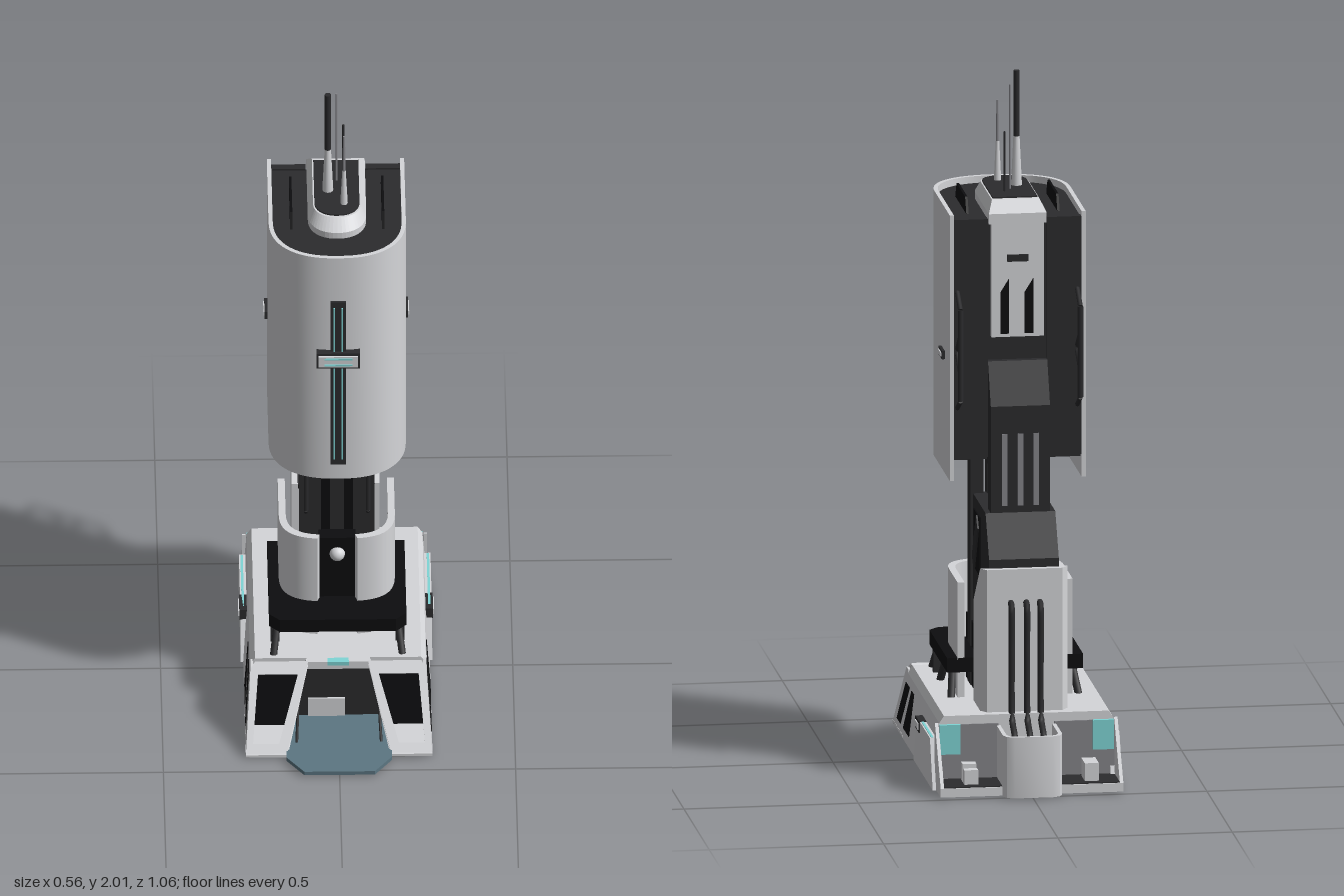
import * as THREE from 'three';
import { toCreasedNormals } from 'three/addons/utils/BufferGeometryUtils.js';
import { ConvexGeometry } from 'three/addons/geometries/ConvexGeometry.js';

const mat = (name, color) => {
  const m = new THREE.MeshStandardMaterial({ color });
  m.name = name;
  return m;
};
const V = (x, y, z) => new THREE.Vector3(x, y, z);

export function createModel() {
  const group = new THREE.Group();
  const light = mat('light hull', 0xd5d6d9), dark = mat('dark metal', 0x2b2b2d), black = mat('black glass', 0x0d0d0f);
  const slate = mat('slate blue', 0x5c7682), cyan = mat('cyan trim', 0x7fd6d6), grey = mat('mid grey', 0x85858a);
  const SIDES = [1, -1];

  const add = (name, geo, m) => {
    const mesh = new THREE.Mesh(geo, m);
    mesh.name = name;
    group.add(mesh);
    return mesh;
  };
  const box = (name, m, x0, x1, y0, y1, z0, z1) =>
    add(name, new THREE.BoxGeometry(Math.abs(x1 - x0), y1 - y0, z1 - z0), m)
      .position.set((x0 + x1) / 2, (y0 + y1) / 2, (z0 + z1) / 2);
  const hull = (name, m, pts) => add(name, new ConvexGeometry(pts.map(p => V(...p))), m);
  // thin plate on a planar outline
  const plate = (name, m, pts, t = 0.004) => {
    const p = pts.map(q => V(...q));
    const n = p[1].clone().sub(p[0]).cross(p[2].clone().sub(p[0])).normalize().multiplyScalar(t);
    return add(name, new ConvexGeometry([...p.map(q => q.clone().add(n)), ...p.map(q => q.clone().sub(n))]), m);
  };
  // outline in x, z raised between two heights
  const prism = (name, m, pts, y0, y1) => {
    const g = new THREE.ExtrudeGeometry(new THREE.Shape(pts.map(p => new THREE.Vector2(p[0], -p[1]))),
      { depth: y1 - y0, bevelEnabled: false });
    g.rotateX(-Math.PI / 2).translate(0, y0, 0);
    return add(name, toCreasedNormals(g, 0.6), m);
  };
  // outline in z, y drawn across the width
  const across = (name, m, pts, xa, xb) => {
    const g = new THREE.ExtrudeGeometry(new THREE.Shape(pts.map(p => new THREE.Vector2(-p[0], p[1]))),
      { depth: Math.abs(xb - xa), bevelEnabled: false });
    g.rotateY(Math.PI / 2).translate(Math.min(xa, xb), 0, 0);
    return add(name, g, m);
  };
  const rod = (name, m, a, b, r0, r1 = r0, sides = 8) => {
    const p = V(...a), q = V(...b), d = q.clone().sub(p);
    const mesh = add(name, new THREE.CylinderGeometry(r1, r0, d.length(), sides), m);
    mesh.position.copy(p).add(q).multiplyScalar(0.5);
    mesh.quaternion.setFromUnitVectors(V(0, 1, 0), d.normalize());
  };
  // U outline: flat back, rounded front
  const uPath = (w, zb, zc, zf, e = 0.85, n = 32) => {
    const pts = [[w, zb]];
    for (let i = 0; i <= n; i++) {
      const a = Math.PI * i / n, c = Math.cos(a), s = Math.max(0, Math.sin(a));
      pts.push([w * Math.sign(c) * Math.abs(c) ** e, zc + (zf - zc) * s ** e]);
    }
    pts.push([-w, zb]);
    return pts;
  };
  const ring = (outer, inner) => [...outer, ...inner.slice().reverse()];

  // Base hull
  const sideX = y => 0.265 - y * 0.08, slopeZ = y => 0.44 - y * 0.81;
  const section = [[0.265, 0], [sideX(0.19), 0.19], [0.236, 0.21]];
  hull('baseHull', light, SIDES.flatMap(s => section.flatMap(([x, y]) => [[s * x, y, -0.375], [s * x, y, 0.25]])));
  box('frontFloor', light, -0.265, 0.265, 0, 0.008, 0.24, 0.44);
  box('rearFloor', light, -0.262, 0.262, 0, 0.025, -0.49, -0.37);
  // sloping window frame with a hole, its height measured up the slope
  const rise = Math.hypot(0.21, 0.17) / 0.21;
  const onSlope = (s, pts) => pts.map(([x, y]) => new THREE.Vector2(s * x, y * rise));
  for (const s of SIDES) {
    // Hollow front cheeks beside the entrance
    const frame = new THREE.Shape(onSlope(s, [[0.15, 0], [0.265, 0], [0.249, 0.195], [0.236, 0.212], [0.085, 0.212]]));
    frame.holes.push(new THREE.Path(onSlope(s, [[0.115, 0.183], [0.228, 0.183], [0.244, 0.03], [0.17, 0.03]])));
    const frameGeo = new THREE.ExtrudeGeometry(frame, { depth: 0.008, bevelEnabled: false });
    frameGeo.translate(0, 0, -0.008).rotateX(-Math.atan(0.17 / 0.21)).translate(0, 0, 0.44);
    add('windowFrame', frameGeo, light);
    plate('windowGlass', black, [[0.13, 0.01, 0.295], [0.255, 0.01, 0.295], [0.245, 0.19, 0.257], [0.09, 0.19, 0.257]]
      .map(([x, y, z]) => [s * x, y, z]));
    plate('cheekOuterWall', light, [[0, 0.24], [0, 0.44], [0.2, 0.275], [0.2, 0.24]].map(([y, z]) => [s * (sideX(y) - 0.004), y, z]));
    plate('entranceSideWall', light, [[0.15, 0, 0.24], [0.15, 0, 0.435], [0.088, 0.205, 0.268], [0.088, 0.205, 0.24]]
      .map(([x, y, z]) => [s * x, y, z]));
    rod('entranceHandrail', dark, [s * 0.112, 0.15, 0.3], [s * 0.12, 0.03, 0.41], 0.004);
    // Slanted side windows
    for (const w of [[[0.365, 0.03], [0.295, 0.03], [0.185, 0.16], [0.255, 0.16]],
      [[0.24, 0.03], [0.13, 0.03], [0.1, 0.16], [0.145, 0.16]]])
      plate('sideWindow', black, w.map(([z, y]) => [s * sideX(y), y, z]), 0.002);
    // Raised skirt panel with trim along its top, and hatch
    across('skirtPanel', light, [[-0.02, 0], [-0.4, 0], [-0.345, 0.14], [-0.09, 0.14]], s * 0.24, s * 0.272);
    box('skirtTrim', cyan, s * 0.261, s * 0.268, 0.137, 0.142, -0.34, -0.095);
    box('sideHatchFrame', dark, s * 0.245, s * 0.275, 0.108, 0.142, -0.15, -0.075);
    box('sideHatch', light, s * 0.25, s * 0.278, 0.116, 0.134, -0.142, -0.083);
    // Rear bay with sloped side wing
    across('rearWing', light, [[-0.37, 0], [-0.49, 0], [-0.49, 0.025], [-0.375, 0.19], [-0.37, 0.19]], s * 0.252, s * 0.262);
    box('rearBayFloor', dark, s * 0.08, s * 0.252, 0.02, 0.028, -0.485, -0.37);
    box('rearBayWall', grey, s * 0.08, s * 0.252, 0.028, 0.185, -0.38, -0.37);
    box('rearLamp', cyan, s * 0.19, s * 0.25, 0.1, 0.186, -0.387, -0.372);
  }
  box('rearVent', light, -0.195, -0.155, 0.025, 0.08, -0.465, -0.395);
  box('rearVent', light, 0.15, 0.19, 0.025, 0.07, -0.46, -0.435);
  box('rearVent', light, 0.15, 0.19, 0.025, 0.08, -0.425, -0.395);
  box('entranceLintel', light, -0.09, 0.09, 0.185, 0.21, 0.24, 0.27);
  box('entranceLamp', cyan, -0.03, 0.03, 0.2, 0.213, 0.255, 0.275);
  plate('entranceDoor', dark, [[-0.14, 0.01, 0.252], [0.14, 0.01, 0.252], [0.088, 0.185, 0.252], [-0.088, 0.185, 0.252]]);
  box('entranceCrate', light, -0.085, 0.02, 0.01, 0.075, 0.25, 0.262);
  prism('entranceRamp', slate, [[-0.125, 0.25], [0.125, 0.25], [0.15, 0.37], [0.15, 0.46], [0.1, 0.53], [-0.1, 0.53], [-0.15, 0.46], [-0.15, 0.37]], 0.002, 0.014);

  // Rear pipe box
  const tub = (w, zb, zf, r) => [[w, zf], [w, zb + r], [w - r * 0.3, zb + r * 0.3], [w - r, zb],
    [r - w, zb], [r * 0.3 - w, zb + r * 0.3], [-w, zb + r], [-w, zf]];
  prism('pipeBoxWall', light, ring(tub(0.085, -0.53, -0.37, 0.03), tub(0.074, -0.52, -0.37, 0.025)), 0, 0.178);
  prism('pipeBoxFloor', slate, tub(0.076, -0.522, -0.37, 0.025), 0.002, 0.13);

  // Collar deck with struts
  prism('collarDeck', black, [[-0.195, -0.155], [0.195, -0.155], [0.195, 0.195], [0.165, 0.225], [-0.165, 0.225], [-0.195, 0.195]], 0.283, 0.325);
  for (const s of SIDES) {
    for (const [z0, z1] of [[0.17, 0.23], [0.02, 0.07], [-0.09, -0.15]])
      rod('collarStrut', dark, [s * 0.17, 0.29, z0], [s * 0.183, 0.205, z1], 0.011);
    box('frontSpring', dark, s * 0.165, s * 0.19, 0.205, 0.285, 0.15, 0.17);
  }

  // Lower curved housing shells
  for (const s of SIDES) {
    const half = (w, zf) => uPath(w, -0.155, 0.0, zf, 0.65, 48).filter(p => p[0] > 0.05).map(p => [p[0] * s, p[1]]);
    prism('housingShell', light, ring(half(0.165, 0.137), half(0.145, 0.117)), 0.2, 0.545);
  }
  prism('housingCore', black, [[-0.105, -0.15], [0.105, -0.15], [0.105, 0.09], [-0.105, 0.09]], 0.2, 0.4);
  box('frontSlot', black, -0.052, 0.052, 0.2, 0.53, 0.07, 0.112);
  add('frontLamp', new THREE.SphereGeometry(0.022, 16, 12), light).position.set(0, 0.475, 0.112);

  // Central mast
  box('mastCore', dark, -0.06, 0.06, 0.2, 0.95, -0.02, 0.03);
  for (const s of SIDES) {
    box('mastRail', dark, s * 0.07, s * 0.107, 0.2, 0.95, -0.015, 0.045);
    box('mastTube', black, s * 0.02, s * 0.045, 0.2, 0.95, 0.025, 0.05);
    // Lower front truss
    const x = s * 0.088;
    rod('frontTrussRail', dark, [x, 0.62, 0.1], [x, 0.88, 0.1], 0.007);
    for (const [y0, y1] of [[0.62, 0.57], [0.71, 0.78], [0.83, 0.87]])
      rod('frontTrussBrace', dark, [x, y0, 0.1], [x, y1, 0.04], 0.006);
  }

  // Rear shoulder and tower
  across('rearShoulder', dark, [[0, 0.2], [0, 0.77], [-0.26, 0.77], [-0.33, 0.65], [-0.33, 0.6], [-0.19, 0.46], [-0.19, 0.2]], -0.1, 0.1);
  for (const s of SIDES) {
    box('shoulderOpening', black, s * 0.095, s * 0.104, 0.565, 0.735, -0.165, -0.045);
    plate('shoulderBrace', dark, [[0.6, -0.05], [0.565, -0.08], [0.7, -0.16], [0.735, -0.13]].map(([y, z]) => [s * 0.105, y, z]));
  }
  const tower = [];
  for (const s of SIDES)
    for (const [x, z, top] of [[0.125, -0.19, 0.5], [0.125, -0.325, 0.625], [0.108, -0.348, 0.625]])
      tower.push([s * x, 0.19, z], [s * x, top, z]);
  hull('rearTower', light, tower);
  for (const x of [-0.043, -0.004, 0.04]) {
    const path = new THREE.CatmullRomCurve3([V(x, 0.53, -0.34), V(x, 0.52, -0.36), V(x, 0.4, -0.363), V(x, 0.24, -0.363),
      V(x, 0.19, -0.375), V(x, 0.16, -0.42), V(x, 0.125, -0.455)]);
    add('rearPipe', new THREE.TubeGeometry(path, 32, 0.009, 8), dark);
  }

  // Rear spine column
  across('spineColumn', dark, [[-0.2, 0.76], [-0.26, 0.76], [-0.26, 1.08], [-0.205, 1.2], [-0.15, 1.2], [-0.15, 0.93], [-0.2, 0.9]], -0.085, 0.085);
  for (const x of [-0.045, 0, 0.045]) box('spineStrip', grey, x - 0.008, x + 0.008, 0.79, 1.0, -0.264, -0.255);

  // Main tower shell and core
  prism('mainShell', light, ring(uPath(0.195, -0.208, 0.09, 0.272), uPath(0.183, -0.208, 0.09, 0.26)), 0.855, 1.63);
  prism('mainCore', dark, uPath(0.185, -0.185, 0.09, 0.262), 0.91, 1.61);
  for (const s of SIDES) {
    box('rearRib', dark, s * 0.085, s * 0.183, 0.92, 1.615, -0.203, -0.18);
    across('roofRail', black, [[-0.12, 1.6], [-0.09, 1.655], [0.08, 1.655], [0.11, 1.6]], s * 0.127, s * 0.134);
    box('shellHatchFrame', dark, s * 0.19, s * 0.204, 1.188, 1.212, -0.112, -0.045);
    box('shellHatch', light, s * 0.19, s * 0.207, 1.194, 1.206, -0.105, -0.052);
    // Rear trusses
    const x = s * 0.172;
    rod('rearTrussRail', dark, [x, 1.1, -0.262], [x, 1.365, -0.262], 0.008);
    for (const [y0, y1] of [[1.365, 1.41], [1.29, 1.23], [1.18, 1.23], [1.1, 1.06]])
      rod('rearTrussBrace', dark, [x, y0, -0.262], [x, y1, -0.19], 0.007);
  }
  // Light upper spine on the back
  box('spinePanel', light, -0.075, 0.075, 1.27, 1.63, -0.206, -0.16);
  box('spineVent', dark, -0.03, 0.03, 1.49, 1.51, -0.211, -0.19);
  for (const x of [-0.045, 0.025]) plate('spineSlot', black, [[x, 1.28, -0.206], [x + 0.025, 1.28, -0.206], [x + 0.025, 1.4, -0.206], [x, 1.44, -0.206]]);

  // Front light strip and crossbar
  box('frontStrip', dark, -0.022, 0.022, 0.91, 1.48, 0.25, 0.279);
  for (const s of SIDES) box('frontStripGlow', cyan, s * 0.009, s * 0.014, 0.93, 1.46, 0.27, 0.282);
  box('crossbar', dark, -0.062, 0.062, 1.256, 1.308, 0.25, 0.29);
  box('crossbarFace', light, -0.056, 0.056, 1.264, 1.3, 0.28, 0.296);
  for (const y of [1.27, 1.291]) box('crossbarGlow', cyan, -0.04, 0.04, y, y + 0.004, 0.29, 0.299);

  // Roof cap
  const low = uPath(0.083, -0.208, 0.06, 0.15, 0.9, 24), high = uPath(0.068, -0.165, 0.05, 0.118, 0.9, 24);
  hull('roofCap', light, [...low.flatMap(([x, z]) => [[x, 1.6, z], [x, 1.63, z]]), ...high.map(([x, z]) => [x, 1.662, z])]);
  prism('roofCapPlate', dark, uPath(0.064, -0.152, 0.048, 0.111, 0.9, 24), 1.658, 1.666);

  // Antennas
  rod('mainAntennaBase', light, [-0.025, 1.66, -0.01], [-0.025, 1.83, -0.01], 0.016, 0.008, 12);
  rod('mainAntenna', dark, [-0.025, 1.8, -0.01], [-0.025, 2, -0.01], 0.009, 0.009, 12);
  rod('rearAntenna', grey, [0, 1.66, -0.055], [0, 1.97, -0.055], 0.003);
  rod('frontAntennaBase', light, [0.02, 1.66, 0.055], [0.02, 1.78, 0.055], 0.011, 0.005);
  rod('frontAntenna', grey, [0.02, 1.76, 0.055], [0.02, 1.9, 0.055], 0.005, 0.003);
  rod('shortAntenna', dark, [0.02, 1.66, -0.083], [0.02, 1.84, -0.083], 0.003);
  return group;
}
